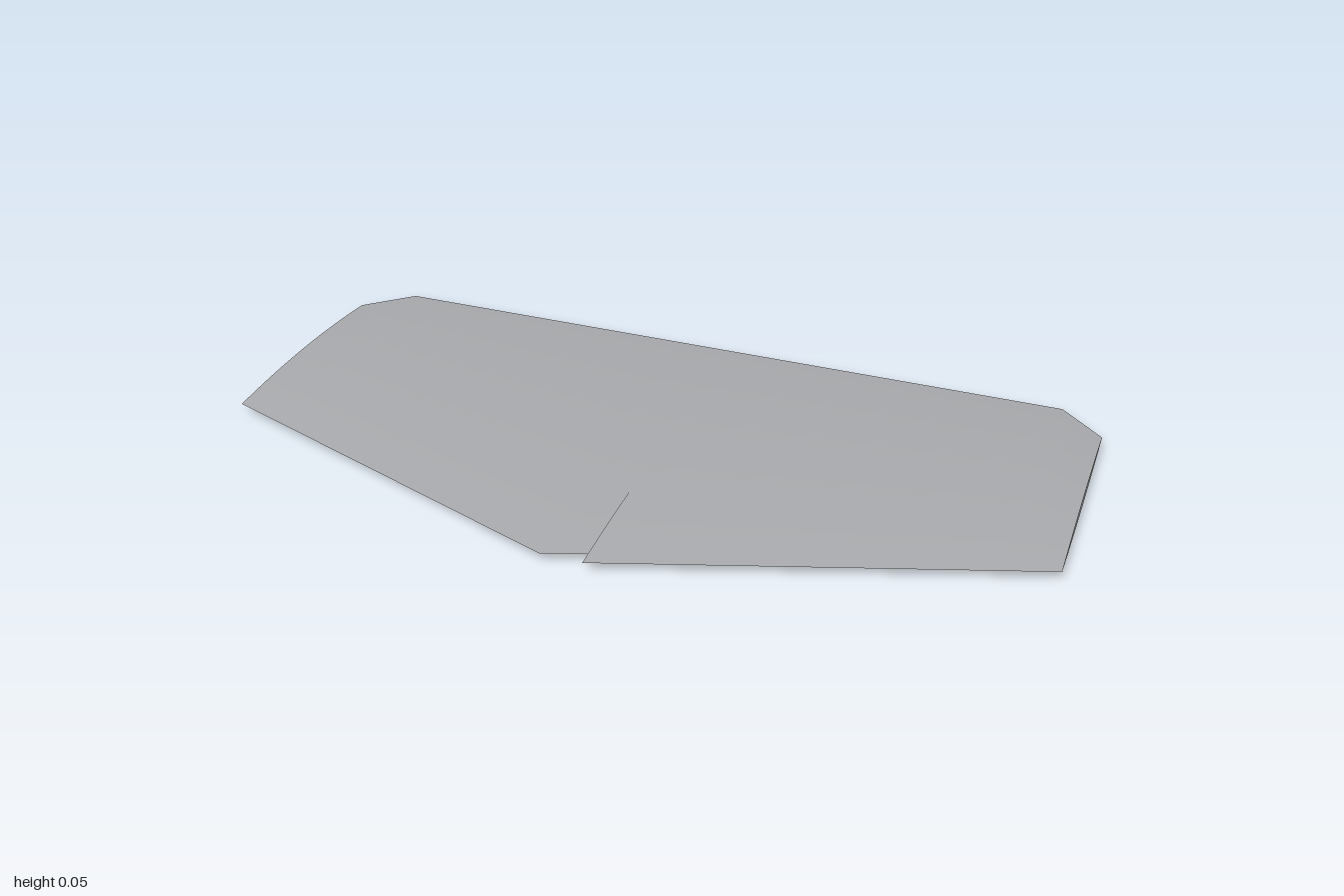
import * as THREE from 'three';
import { toCreasedNormals } from 'three/addons/utils/BufferGeometryUtils.js';

const MID = 0.0235;      // height of the chord plane
const ROOT_CHORD = 1.03;
const STEPS = 20;        // points along each side of the lens profile

// Closed lens-shaped ring from leading edge, over the top, back underneath
function lensRing({ x, front, back }) {
  const half = MID * (front - back) / ROOT_CHORD;
  const ring = [];
  for (let j = 0; j < STEPS * 2; j++) {
    const top = j <= STEPS;
    const t = top ? j / STEPS : 2 - j / STEPS;
    const bulge = 4 * t * (1 - t) * half;
    ring.push([x, MID + (top ? bulge : -bulge), front + (back - front) * t]);
  }
  return ring;
}

// Skin through sections ordered by rising x, with flat ends
function loftWing(sections) {
  const rings = sections.map(lensRing);
  const n = STEPS * 2;
  const index = [];
  for (let i = 0; i < rings.length - 1; i++) {
    for (let j = 0; j < n; j++) {
      const a = i * n + j, b = i * n + (j + 1) % n;
      index.push(a, a + n, b, b, a + n, b + n);
    }
  }
  const last = (rings.length - 1) * n;
  for (let j = 1; j < n - 1; j++) {
    index.push(0, j, j + 1);
    index.push(last, last + j + 1, last + j);
  }
  const geometry = new THREE.BufferGeometry();
  geometry.setAttribute('position', new THREE.Float32BufferAttribute(rings.flat(2), 3));
  geometry.setIndex(index);
  return toCreasedNormals(geometry, 0.5);
}

export function createModel() {
  const wing = new THREE.Group();
  wing.name = 'wing';
  const grey = new THREE.MeshStandardMaterial({ color: 0xa6a8ab });
  grey.name = 'light grey';

  const add = (name, sections) => {
    const mesh = new THREE.Mesh(loftWing(sections), grey);
    mesh.name = name;
    wing.add(mesh);
  };

  // Tapered panels with clipped rear tip corners
  const panel = [
    { x: 0.05, front: 0.515, back: -0.515 },
    { x: 0.89, front: 0.223, back: -0.515 },
    { x: 1, front: 0.185, back: -0.41 },
  ];
  add('leftPanel', panel);
  add('rightPanel', panel.map((s) => ({ ...s, x: -s.x })).reverse());

  // Narrow centre panel whose slanted leading edge leaves a notch
  add('centrePanel', [
    { x: -0.05, front: 0.515, back: -0.515 },
    { x: 0.05, front: 0.48, back: -0.515 },
  ]);
  return wing;
}
